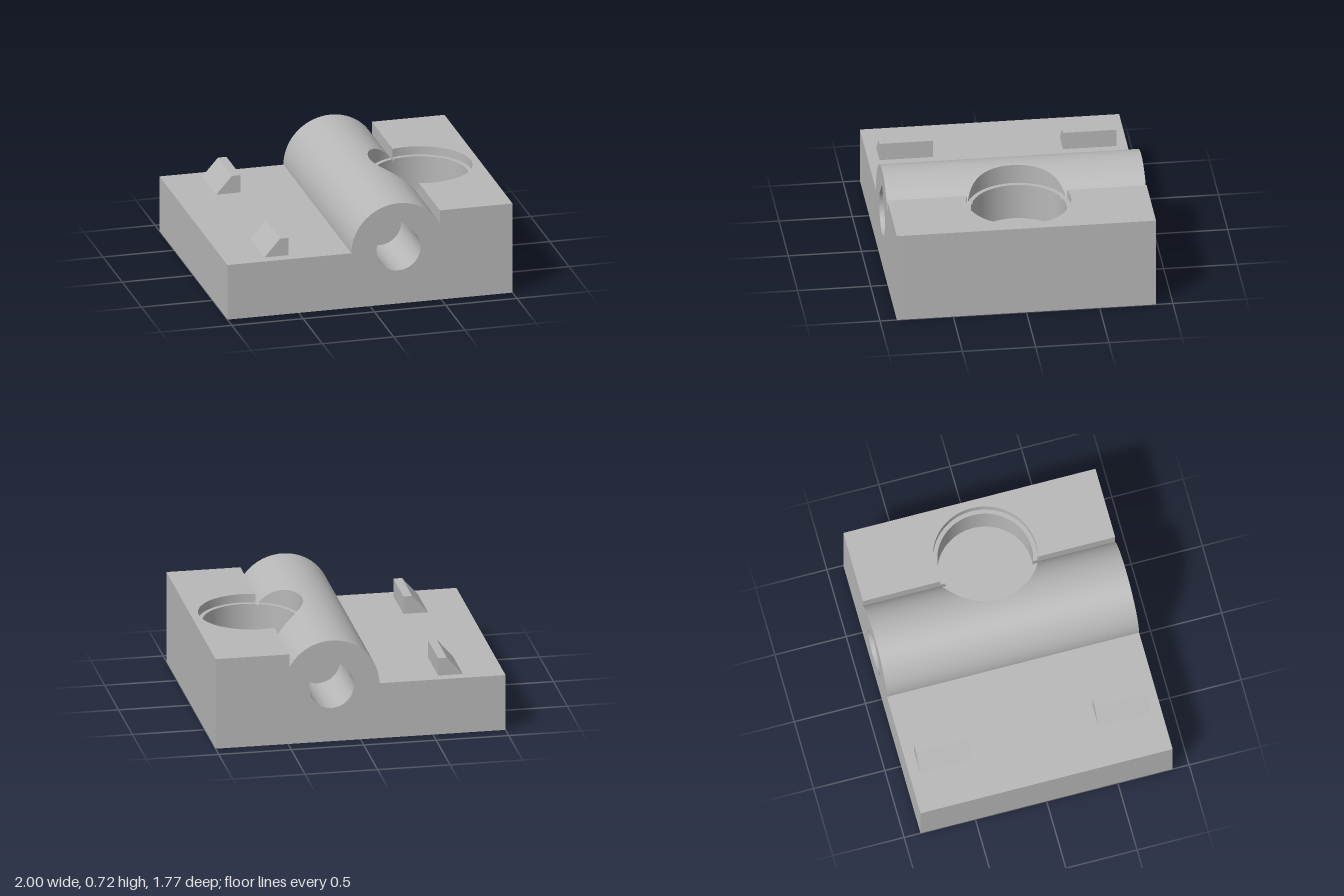
import * as THREE from 'three';
import { ParametricGeometry } from 'three/addons/geometries/ParametricGeometry.js';

const D = 0.885;                            // half depth
const LOW = 0.395, HIGH = 0.645, STEP = 0.49; // deck heights and the step between them
const CX = 0.2, DOME = 0.33, BORE = 0.155;  // long rounded ridge and its teardrop bore
const PX = 0.59, R = 0.355, r = 0.325;      // round pocket: rim and inner radius
const LEDGE = 0.585, RIM = 0.06;            // ledge heights, upper and lower
const FLOOR = 0.33, CEILING = 0.315;        // web between upper and lower pocket
const BORE_DEPTH = 0.5;

export function createModel() {
  const group = new THREE.Group();
  const grey = new THREE.MeshStandardMaterial({ color: 0xb8b8b8, side: THREE.DoubleSide });
  grey.name = 'plain grey';

  const add = (name, geometry) => {
    const mesh = new THREE.Mesh(geometry, grey);
    mesh.name = name;
    group.add(mesh);
    return mesh;
  };
  // flat horizontal sheet from a shape in x and z
  const sheet = (name, shape, y, up = true) =>
    add(name, new THREE.ShapeGeometry(shape, 96).rotateX(up ? -Math.PI / 2 : Math.PI / 2).translate(0, y, 0));
  // curved sheet from a function returning [x, y, z]
  const surface = (name, fn, nu, nv = 1) =>
    add(name, new ParametricGeometry((u, v, p) => p.set(...fn(u, v)), nu, nv));
  const rect = (x0, x1, z0, z1) => new THREE.Shape([[x0, z0], [x1, z0], [x1, z1], [x0, z1]].map(p => new THREE.Vector2(...p)));
  const disc = radius => new THREE.Shape().absarc(PX, 0, radius, 0, Math.PI * 2);
  // upright sheet facing x
  const sideWall = (name, x, y0, y1, z0, z1) =>
    add(name, new THREE.PlaneGeometry(Math.abs(z1 - z0), y1 - y0).rotateY(x > 0 && name !== 'stepWall' ? Math.PI / 2 : -Math.PI / 2)
      .translate(x, (y0 + y1) / 2, (z0 + z1) / 2));

  const domeY = x => LOW + Math.sqrt(Math.max(0, DOME * DOME - (x - CX) ** 2));
  const pocketZ = (x, radius) => Math.sqrt(Math.max(0, radius * radius - (x - PX) ** 2));
  const angleAt = (x, radius) => Math.acos((x - PX) / radius);
  const thetaEnd = Math.acos((STEP - CX) / DOME);
  const thetaLedge = Math.asin((LEDGE - LOW) / DOME);
  const thetaCut = Math.acos((PX - R - CX) / DOME);
  const ledgeX = CX + DOME * Math.cos(thetaLedge);

  // Teardrop outline: circle with a 45 degree peak
  const teardrop = Cls => {
    const s = new Cls();
    s.absarc(CX, LOW, BORE, Math.PI * 0.75, Math.PI * 2.25, false);
    s.lineTo(CX, LOW + BORE * Math.SQRT2);
    s.closePath();
    return s;
  };

  // End faces with the bore openings
  const profile = new THREE.Shape();
  profile.moveTo(-1, 0);
  profile.lineTo(1, 0);
  profile.lineTo(1, HIGH);
  profile.lineTo(STEP, HIGH);
  profile.lineTo(STEP, domeY(STEP));
  profile.absarc(CX, LOW, DOME, thetaEnd, Math.PI, false);
  profile.lineTo(-1, LOW);
  profile.closePath();
  profile.holes.push(teardrop(THREE.Path));
  for (const s of [1, -1]) {
    const face = new THREE.ShapeGeometry(profile, 64);
    if (s < 0) face.scale(-1, 1, 1).rotateY(Math.PI);
    add(s > 0 ? 'frontFace' : 'backFace', face.translate(0, 0, s * D));

    // Blind teardrop bore: round wall, two roof slopes, end
    const zEnd = s * (D - BORE_DEPTH), z = v => s * D + v * (zEnd - s * D);
    surface('boreWall', (u, v) => {
      const a = Math.PI * (0.75 + 1.5 * u);
      return [CX + BORE * Math.cos(a), LOW + BORE * Math.sin(a), z(v)];
    }, 64);
    for (const m of [1, -1]) {
      const k = BORE * Math.SQRT1_2;
      surface('boreRoof', (u, v) => [CX + m * k * (1 - u), LOW + k * (1 + u), z(v)], 1);
    }
    add('boreEnd', new THREE.ShapeGeometry(teardrop(THREE.Shape), 48).translate(0, 0, zEnd));

    // Ridge beside the pocket, split where it dips below the ledge
    const ridge = (t0, t1, radius, power) => surface('ridge', (u, v) => {
      const t = t0 + (t1 - t0) * u ** power;
      const x = CX + DOME * Math.cos(t);
      const z0 = pocketZ(x, radius);
      return [x, LOW + DOME * Math.sin(t), s * (z0 + (D - z0) * v)];
    }, 40);
    ridge(thetaCut, thetaLedge, R, 2);
    ridge(thetaLedge, thetaEnd, r, 1);

    // Step wall beside the ridge
    sideWall('stepWall', STEP, LEDGE, HIGH, s * pocketZ(STEP, R), s * D);
    sideWall('stepWall', STEP, domeY(STEP), LEDGE, s * pocketZ(STEP, r), s * D);
  }

  // Uncut part of the ridge
  surface('ridge', (u, v) => {
    const t = Math.PI + (thetaCut - Math.PI) * u;
    return [CX + DOME * Math.cos(t), LOW + DOME * Math.sin(t), D * (2 * v - 1)];
  }, 48);

  // Decks, sides and underside
  sheet('lowDeck', rect(-1, CX - DOME, -D, D), LOW);
  const a = angleAt(STEP, R);
  const deck = new THREE.Shape();
  deck.moveTo(STEP, -D);
  deck.lineTo(1, -D);
  deck.lineTo(1, D);
  deck.lineTo(STEP, D);
  deck.lineTo(STEP, pocketZ(STEP, R));
  deck.absarc(PX, 0, R, a, -a, true);
  deck.closePath();
  sheet('highDeck', deck, HIGH);
  sideWall('leftSide', 1, 0, HIGH, -D, D);
  sideWall('rightSide', -1, 0, LOW, -D, D);
  const base = rect(-1, 1, -D, D);
  base.holes.push(disc(R));
  sheet('underside', base, 0, false);

  // Upright pocket walls
  const wall = (name, radius, a0, a1, bottom, top) => surface(name, (u, v) => {
    const t = a0 + (a1 - a0) * u, x = PX + radius * Math.cos(t);
    const y1 = top(x);
    return [x, bottom + (y1 - bottom) * v, radius * Math.sin(t)];
  }, 128);
  const full = Math.PI * 2, b = angleAt(ledgeX, R);
  wall('upperRimWall', R, -a, a, LEDGE, () => HIGH);
  wall('upperRimWall', R, b, full - b, LEDGE, domeY);
  wall('upperPocketWall', r, 0, full, FLOOR, x => (x > ledgeX && x < STEP ? domeY(x) : LEDGE));
  wall('lowerPocketWall', r, 0, full, RIM, () => CEILING);
  wall('lowerRimWall', R, 0, full, 0, () => RIM);

  // Ledges and pocket ends
  const ledge = (x, right) => {
    const o = angleAt(x, R), i = angleAt(x, r), s = new THREE.Shape();
    s.absarc(PX, 0, R, right ? -o : o, right ? o : full - o, false);
    s.absarc(PX, 0, r, right ? i : full - i, right ? -i : i, true);
    s.closePath();
    return s;
  };
  sheet('upperLedge', ledge(STEP, true), LEDGE);
  sheet('upperLedge', ledge(ledgeX, false), LEDGE);
  const ring = disc(R);
  ring.holes.push(disc(r));
  sheet('lowerLedge', ring, RIM, false);
  sheet('pocketFloor', disc(r), FLOOR);
  sheet('pocketCeiling', disc(r), CEILING, false);

  // Two wedge-shaped catches on the low deck
  const catchShape = new THREE.Shape([[-0.72, LOW], [-0.55, LOW], [-0.55, 0.52], [-0.61, 0.52]].map(p => new THREE.Vector2(...p)));
  for (const z of [-0.81, 0.443])
    add('catch', new THREE.ExtrudeGeometry(catchShape, { depth: 0.365, bevelEnabled: false }).translate(0, 0, z));

  return group;
}
